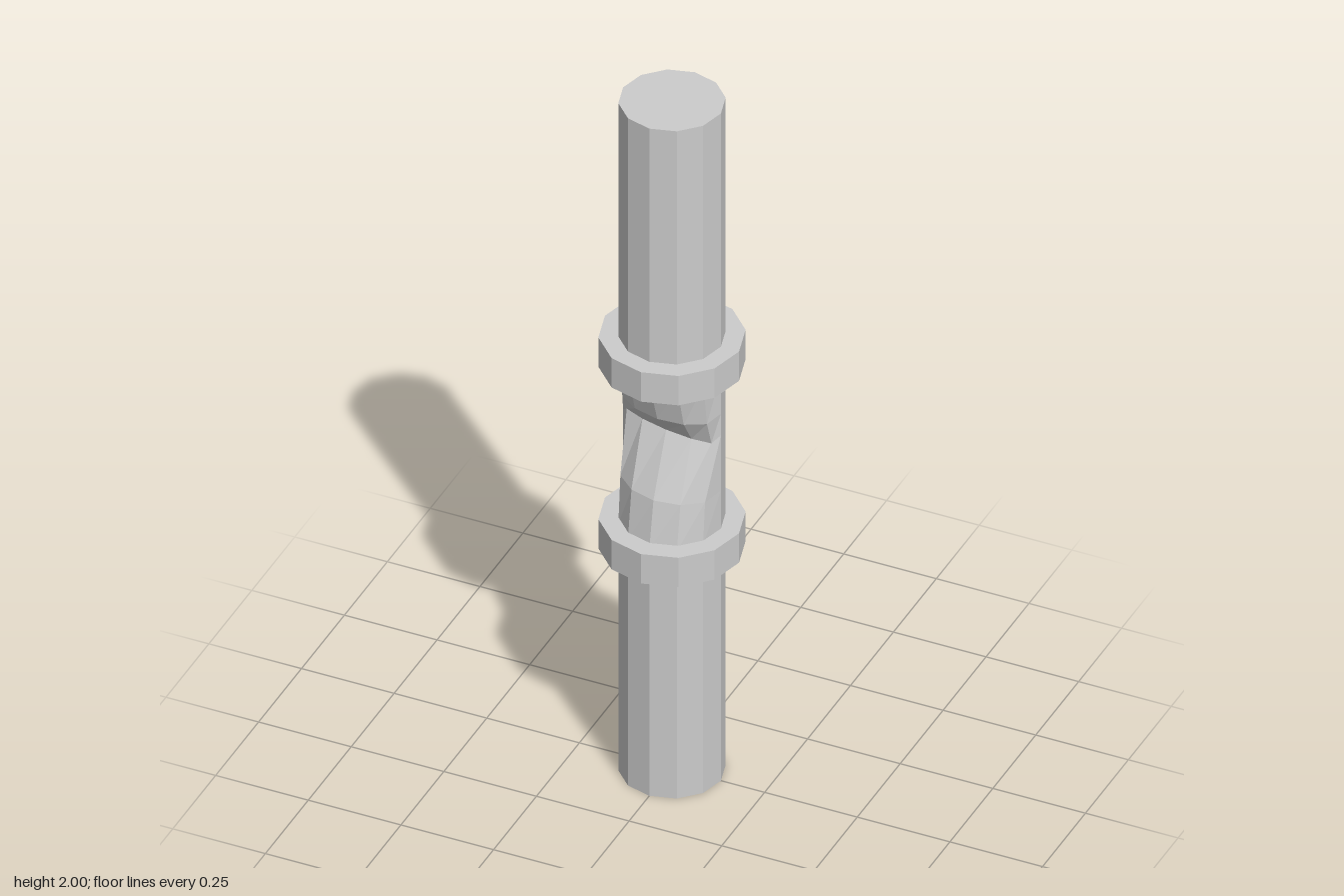
import * as THREE from 'three';

const SIDES = 12;
const material = new THREE.MeshStandardMaterial({ color: 0xcccccc, flatShading: true, side: THREE.DoubleSide });

// Rings of the pipe from bottom to top: height, front depth scale, sideways tilt
const RINGS = [
  [0, 1, 0],
  [0.74, 1, 0],
  [0.87, 0.82, -0.06],
  [1.035, 0.26, -0.16],
  [1.1, 0.65, -0.08],
  [1.22, 0.96, 0],
  [1.3, 1, 0],
  [2, 1, 0],
];

// Twelve-sided pipe with its front pushed in to a slanted crease
function dentedPipe(radius) {
  const rows = RINGS.length - 1;
  const geometry = new THREE.CylinderGeometry(radius, radius, rows, SIDES, rows);
  const pos = geometry.attributes.position;
  for (let i = 0; i < pos.count; i++) {
    const [height, depth, tilt] = RINGS[Math.round(pos.getY(i) + rows / 2)];
    const x = pos.getX(i);
    const z = pos.getZ(i);
    const inFront = z > 0.01;
    pos.setXYZ(i, x, height + (inFront ? tilt * x : 0), inFront ? z * depth : z);
  }
  geometry.computeVertexNormals();
  return geometry;
}

export function createModel() {
  const model = new THREE.Group();
  model.name = 'dentedPipe';

  const pipe = new THREE.Mesh(dentedPipe(0.132), material);
  pipe.name = 'pipe';
  model.add(pipe);

  // Collars below and above the dent
  for (const [name, y] of [['lowerCollar', 0.712], ['upperCollar', 1.257]]) {
    const collar = new THREE.Mesh(new THREE.CylinderGeometry(0.181, 0.181, 0.088, SIDES), material);
    collar.name = name;
    collar.position.y = y;
    model.add(collar);
  }
  return model;
}
